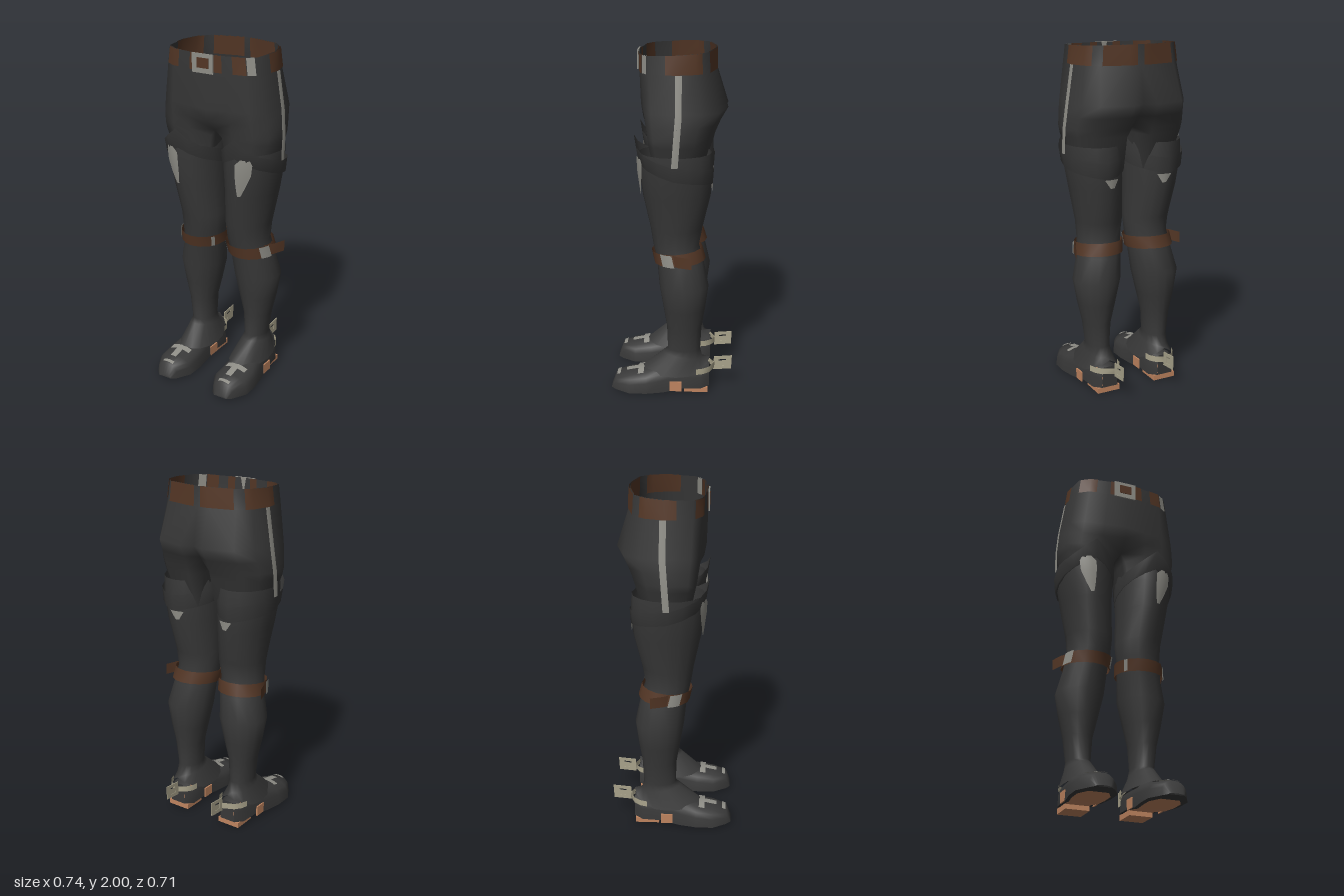
import * as THREE from 'three';
import { mergeGeometries, mergeVertices } from 'three/addons/utils/BufferGeometryUtils.js';

const mat = (name, color) => new THREE.MeshStandardMaterial({ name, color, side: THREE.DoubleSide });
const cloth = mat('dark cloth', 0x383838);
const leather = mat('brown leather', 0x533625);
const soleTan = mat('tan sole', 0xc08560);
const silver = mat('dull silver', 0x8f8e87);
const spurMetal = mat('pale spur metal', 0xaaa48c);

const lerp = THREE.MathUtils.lerp;
const mix = (a, b, t) => a.map((v, i) => lerp(v, b[i], t));

// Interpolates a table whose rows start with their key (ascending or descending)
function sample(table, key) {
  const dir = Math.sign(table[1][0] - table[0][0]);
  let i = 0;
  while (i < table.length - 2 && (key - table[i + 1][0]) * dir > 0) i++;
  const [a, b] = [table[i], table[i + 1]];
  return mix(a, b, THREE.MathUtils.clamp((key - a[0]) / (b[0] - a[0]), 0, 1));
}

// Skins a list of cross-sections; skip(row, column) leaves openings
function loft(rings, closed = false, skip = () => false) {
  const n = rings[0].length, index = [];
  for (let r = 0; r < rings.length - 1; r++) {
    for (let c = 0; c < (closed ? n : n - 1); c++) {
      if (skip(r, c)) continue;
      const a = r * n + c, b = r * n + (c + 1) % n;
      index.push(a, a + n, b, b, a + n, b + n);
    }
  }
  const g = new THREE.BufferGeometry();
  g.setAttribute('position', new THREE.Float32BufferAttribute(rings.flat(2), 3));
  g.setIndex(index);
  g.computeVertexNormals();
  return g;
}

function mirrored(geometry) {
  const g = geometry.clone().scale(-1, 1, 1);
  const idx = g.index.array;
  for (let i = 0; i < idx.length; i += 3) [idx[i], idx[i + 1]] = [idx[i + 1], idx[i]];
  return g;
}

function add(group, name, geometry, material) {
  const m = new THREE.Mesh(geometry, material);
  m.name = name;
  group.add(m);
}

// Half outline of the hips: share of the width, share of the front (+) or back (-) depth
const outline = [[.38, 1], [.72, .9], [.94, .65], [1, -.12], [.91, -.55], [.72, -.84], [.21, -1]];
// Left half of the trousers: front centre, round the outside, back centre, inner thigh
function hipRing([y, out, inner, frontMid, front, back, backMid]) {
  const pts = [[inner, frontMid], ...outline.map(([u, v]) => [u * out, v > 0 ? v * front : -v * back]),
    [inner, backMid], [inner * .8, -.08], [inner * .7, -.01], [inner * .8, .05]];
  return pts.map(([x, z]) => [x, y > 1.95 ? y - .04 * z : y, z]);
}
const hips = [
  [1.99, .302, 0, .195, .182, -.23, -.238],
  [1.89, .316, 0, .193, .182, -.238, -.24],
  [1.68, .35, 0, .187, .165, -.305, -.275],
  [1.61, .36, 0, .175, .155, -.265, -.22],
  [1.54, .365, 0, .1, .145, -.235, -.15],
  [1.5, .358, .035, .085, .14, -.225, -.14],
  [1.3, .3, .07, .07, .1, -.16, -.1],
].map(hipRing);

// Belt piece between two positions u along the waist, outside (+) or inside (-) the cloth
function beltPiece(u0, u1, off = .005) {
  const us = [u0];
  for (let i = Math.floor(u0) + 1; i < u1; i++) us.push(i);
  us.push(u1);
  return loft([hips[0], hips[1]].map(ring => us.map(u => {
    const i = Math.floor(u), p = mix(ring[i], ring[i + 1], u - i);
    const l = Math.hypot(p[0], p[2] + .02);
    return [p[0] * (1 + off / l), p[1], p[2] + (p[2] + .02) * off / l];
  })));
}

// Boot shaft: y, inner x, outer x, back z, front z
const shaft = [
  [1.45, .03, .35, -.22, .185], [1.36, .025, .35, -.225, .185], [1.2, .03, .322, -.215, .165],
  [1, .02, .287, -.17, .125], [.9, .03, .28, -.152, .11], [.8, .04, .295, -.18, .087],
  [.66, .052, .33, -.21, .073], [.52, .085, .305, -.192, .05], [.4, .115, .277, -.172, .03], [.26, .125, .258, -.165, .025],
];
const oval = ([, x0, x1, z0, z1], a, y, off) => [
  (x0 + x1) / 2 + ((x1 - x0) / 2 + off) * Math.sin(a), y, (z0 + z1) / 2 + ((z1 - z0) / 2 + off) * Math.cos(a)];
const SEG = 16;
const ovalRing = (row, yAt = () => row[0], off = 0) => Array.from({ length: SEG }, (_, i) => {
  const a = i / SEG * Math.PI * 2;
  return oval(row, a, yAt(a), off);
});
// Patch lying on the shaft; rows are y, start angle, end angle (0 is the front)
const shaftPatch = (rows, off) => loft(rows.map(([y, a0, a1]) =>
  [0, .25, .5, .75, 1].map(t => oval(sample(shaft, y), lerp(a0, a1, t), y, off))));
// Height of a hem from front (0) to back (1)
const edge = table => a => sample(table, Math.abs(a > Math.PI ? a - 2 * Math.PI : a) / Math.PI)[1];

// Foot: z, centre x, half width, base y, top y
const foot = [
  [.357, .2, .045, .012, .02], [.33, .2, .07, .01, .095], [.25, .2, .115, .01, .115], [.15, .2, .115, .01, .135],
  [.05, .197, .1, .012, .165], [-.06, .19, .088, .03, .17], [-.17, .185, .085, .03, .17], [-.22, .185, .05, .035, .16],
];
const footPoint = ([z, c, w, base, top], a, off = 0) =>
  [c - w * Math.cos(a), base + (top - base) * Math.sin(a) ** .6 + off, z];
const footPatch = (z0, z1, x0, x1) => loft([z0, z1].map(z => {
  const row = sample(foot, z);
  return [0, .25, .5, .75, 1].map(t => footPoint(row, Math.acos((row[1] - lerp(x0, x1, t)) / row[2]), .006));
}));

const path = (Type, pts) => new Type(pts.map(p => new THREE.Vector2(...p)));

function makeLeg(name) {
  const leg = new THREE.Group();
  leg.name = name;

  // Side seam stripe
  add(leg, 'sideStripe', loft([[1.89, .32, -.04], [1.68, .353, -.042], [1.54, .368, -.032], [1.4, .37, -.022]].map(
    ([y, x, z]) => [[x - .002, y, z + .018], [x, y, z], [x - .003, y, z - .018]])), silver);

  // Boot shaft, flaring over the foot
  const flareY = edge([[0, .14], [.3, .115], [.6, .11], [1, .2]]);
  add(leg, 'bootShaft', loft([...shaft.map(r => ovalRing(r)),
    ovalRing([0, .115, .265, -.18, .05], a => .22 + .02 * Math.cos(a)),
    ovalRing([0, .072, .298, -.222, .172], flareY)], true), cloth);

  // Pointed cuff
  const cuffTop = edge([[0, 1.545], [.2, 1.46], [.5, 1.4], [1, 1.36]]);
  const cuffLow = edge([[0, 1.43], [.2, 1.38], [.5, 1.32], [1, 1.27]]);
  add(leg, 'bootCuff', loft([ovalRing([0, .02, .367, -.232, .21], cuffTop),
    ovalRing([0, .02, .358, -.226, .193], cuffLow), ovalRing([0, .03, .345, -.215, .175], cuffLow)], true), cloth);
  add(leg, 'thighPlate', shaftPatch([[1.43, .2, .5], [1.4, .02, .58], [1.34, .02, .55], [1.27, .06, .4], [1.21, .12, .24]], .012), silver);
  add(leg, 'rearTab', shaftPatch([[1.27, 2.95, 3.5], [1.22, 3.15, 3.3]], .008), silver);

  // Knee strap with buckle and loose end
  const tilt = y => a => y - .012 * Math.cos(a);
  add(leg, 'kneeStrap', loft([.88, .81].map(y => ovalRing(sample(shaft, y), tilt(y), .014)), true), leather);
  add(leg, 'kneeBuckle', shaftPatch([[.875, .92, 1.4], [.805, .92, 1.4]], .02), silver);
  add(leg, 'kneeKeeper', shaftPatch([[.87, -1, -.85], [.805, -1, -.85]], .02), silver);
  add(leg, 'strapEnd', loft([[.28, .01], [.315, -.04], [.34, -.115]].map(([x, z]) => [[x, .875, z], [x, .81, z]])), leather);

  // Foot, open inside the ankle
  add(leg, 'foot', loft(foot.map(r => Array.from({ length: 11 }, (_, i) => footPoint(r, Math.PI * i / 10))), false,
    (r, c) => r >= 4 && r <= 5 && c >= 2 && c <= 7), cloth);
  add(leg, 'heelBack', loft([[[.135, .035, -.22], [.235, .035, -.22]], [[.145, .16, -.22], [.225, .16, -.22]]]), cloth);

  // Dark welt under the foot, tan tread inset below it, tan hollow inside the heel
  add(leg, 'welt', loft(foot.map(([z, c, w, b]) => [[c - w, b, z], [c + w, b, z]])), cloth);
  add(leg, 'tread', loft(foot.slice(1).map(([z, c, w, b]) => [[c - w * .8, b - .004, z * .85], [c + w * .8, b - .004, z * .85]])), soleTan);
  add(leg, 'insole', new THREE.ConeGeometry(1, .035, 4, 1, true).rotateX(Math.PI).scale(.038, 1, .075).translate(.18, .052, -.067), soleTan);
  add(leg, 'heel', new THREE.BoxGeometry(.14, .032, .14).translate(.187, .016, -.143), soleTan);
  for (const x of [.1, .288]) add(leg, 'archBand', new THREE.BoxGeometry(.008, .06, .07).translate(x, .05, -.025), soleTan);
  add(leg, 'instepStrap', footPatch(.165, .2, .135, .268), silver);
  add(leg, 'instepTongue', footPatch(.2, .27, .18, .22), silver);
  add(leg, 'toeTrim', footPatch(.305, .325, .165, .238), silver);

  // Spur: strap round the heel, framed upright plate and the strap end through it
  add(leg, 'spurStrap', loft([[.275, -.145], [.262, -.185], [.235, -.22], [.17, -.25], [.125, -.22], [.102, -.185], [.096, -.145]].map(
    ([x, z]) => [[x, .158, z], [x, .122, z]])), spurMetal);
  add(leg, 'spurTongue', loft([[.14, -.24], [.155, -.335]].map(([y, z]) => [[.165, y + .017, z], [.165, y - .017, z]])), spurMetal);
  const frame = path(THREE.Shape, [[.243, .105], [.35, .115], [.354, .2], [.247, .19]]);
  frame.holes.push(path(THREE.Path, [[.275, .13], [.275, .172], [.32, .177], [.32, .135]]));
  const plate = new THREE.ExtrudeGeometry(frame, { depth: .004, bevelEnabled: false });
  add(leg, 'spurPlate', mergeVertices(plate).rotateY(Math.PI / 2).translate(.163, 0, 0), spurMetal);
  return leg;
}

export function createModel() {
  const model = new THREE.Group();
  model.name = 'trousersAndBoots';

  // Trousers: both halves welded along the middle
  const half = loft(hips, true, (r, c) => r < 4 && c >= 8);
  const whole = mergeGeometries([half, mirrored(half)]);
  whole.deleteAttribute('normal');
  const welded = mergeVertices(whole, 1e-4);
  welded.computeVertexNormals();
  add(model, 'trousers', welded, cloth);

  // Belt, with its pieces showing on both faces of the waistband
  const pieces = [[.45, .85], [3.6, 5.5], [6.1, 7.7]];
  for (const off of [.005, -.004]) {
    for (const [u0, u1] of [...pieces, [1.4, 2.15]]) add(model, 'beltLeft', beltPiece(u0, u1, off), leather);
    for (const [u0, u1] of [...pieces, [1.6, 2.8]]) add(model, 'beltRight', mirrored(beltPiece(u0, u1, off)), leather);
    add(model, 'beltClip', beltPiece(2.2, 2.75, off), silver);
  }
  add(model, 'beltBuckle', new THREE.BoxGeometry(.135, .105, .008).translate(-.012, 1.932, .197), silver);
  add(model, 'buckleCentre', new THREE.BoxGeometry(.075, .055, .004).translate(-.01, 1.935, .202), leather);

  // Legs
  const right = makeLeg('rightLeg');
  right.children.forEach(m => { m.geometry = mirrored(m.geometry); });
  model.add(makeLeg('leftLeg'), right);
  return model;
}
